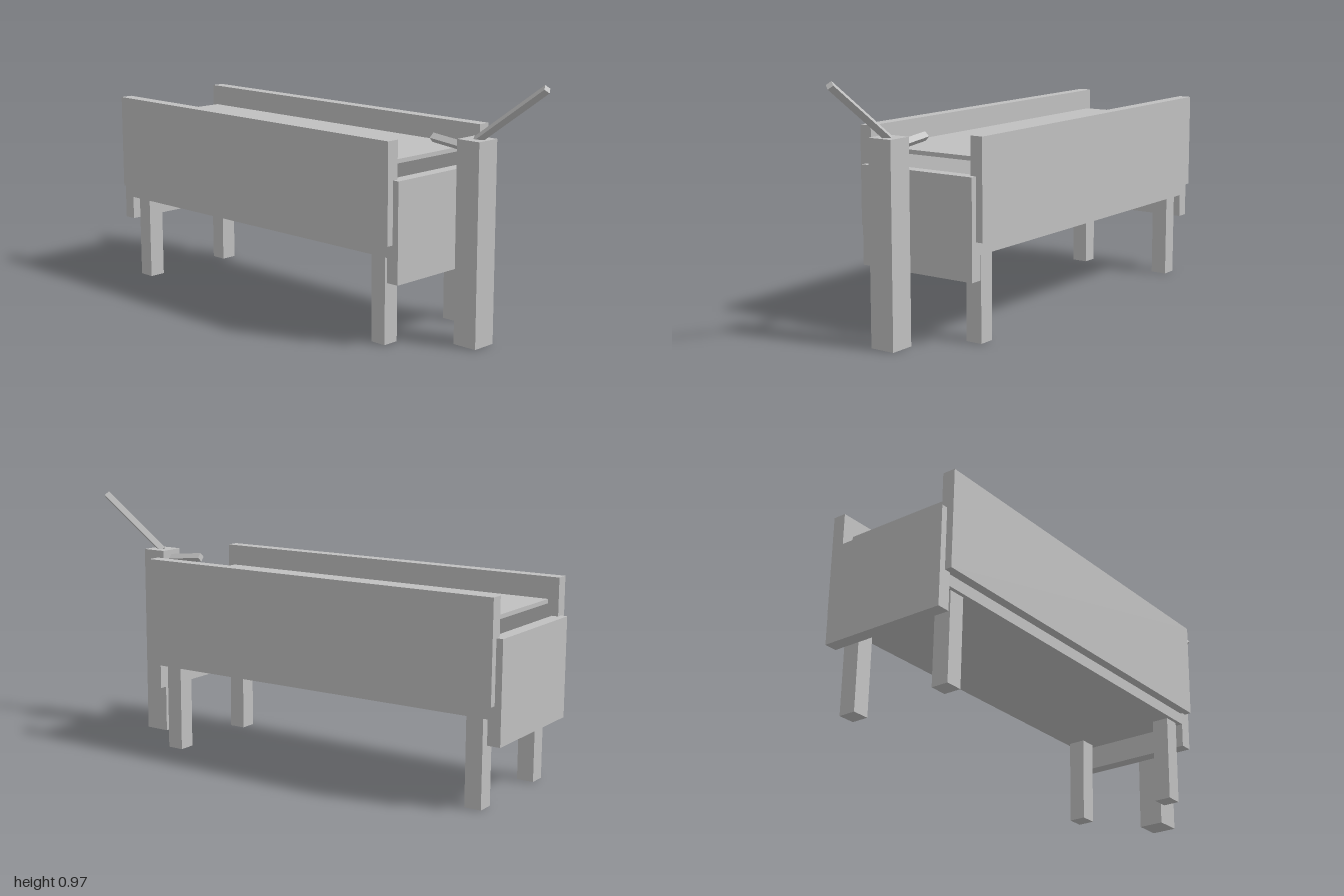
import * as THREE from 'three';

export function createModel() {
  const group = new THREE.Group();
  const grey = new THREE.MeshStandardMaterial({ color: 0xc0c0c0, flatShading: true });
  grey.name = 'plain grey';

  // Box given by its extents on each axis
  function box(name, [x0, x1], [y0, y1], [z0, z1]) {
    const mesh = new THREE.Mesh(new THREE.BoxGeometry(x1 - x0, y1 - y0, z1 - z0), grey);
    mesh.position.set((x0 + x1) / 2, (y0 + y1) / 2, (z0 + z1) / 2);
    mesh.name = name;
    group.add(mesh);
  }

  // Four-sided rod, standing on its edge, between two points of the z = 0 plane
  function rod(name, [x0, y0], [x1, y1], radius) {
    const dx = x1 - x0, dy = y1 - y0;
    const mesh = new THREE.Mesh(new THREE.CylinderGeometry(radius, radius, Math.hypot(dx, dy), 4), grey);
    mesh.position.set((x0 + x1) / 2, (y0 + y1) / 2, 0);
    mesh.rotation.z = Math.atan2(dy, dx) - Math.PI / 2;
    mesh.name = name;
    group.add(mesh);
  }

  // Trough: floor, end boards, and side boards floating just above the floor
  box('floor', [-0.95, 0.5], [0.332, 0.375], [-0.25, 0.25]);
  box('rightEndBoard', [-1, -0.95], [0.24, 0.616], [-0.25, 0.25]);
  box('leftEndBoard', [0.5, 0.55], [0.24, 0.616], [-0.25, 0.25]);
  box('frontBoard', [-0.975, 0.525], [0.382, 0.758], [0.227, 0.277]);
  box('backBoard', [-0.975, 0.525], [0.382, 0.758], [-0.277, -0.227]);

  // Water surface
  box('water', [-0.938, 0.487], [0.662, 0.678], [-0.217, 0.217]);

  // Legs
  for (const x of [-0.925, 0.411]) {
    for (const z of [-0.235, 0.169]) box('leg', [x, x + 0.065], [0, 0.332], [z, z + 0.066]);
  }

  // Pump: post, spout and handle
  box('pumpPost', [0.645, 0.745], [0, 0.753], [-0.05, 0.05]);
  rod('spout', [0.491, 0.734], [0.69, 0.713], 0.0175);
  rod('handle', [0.69, 0.746], [0.99, 0.958], 0.0165);

  return group;
}
